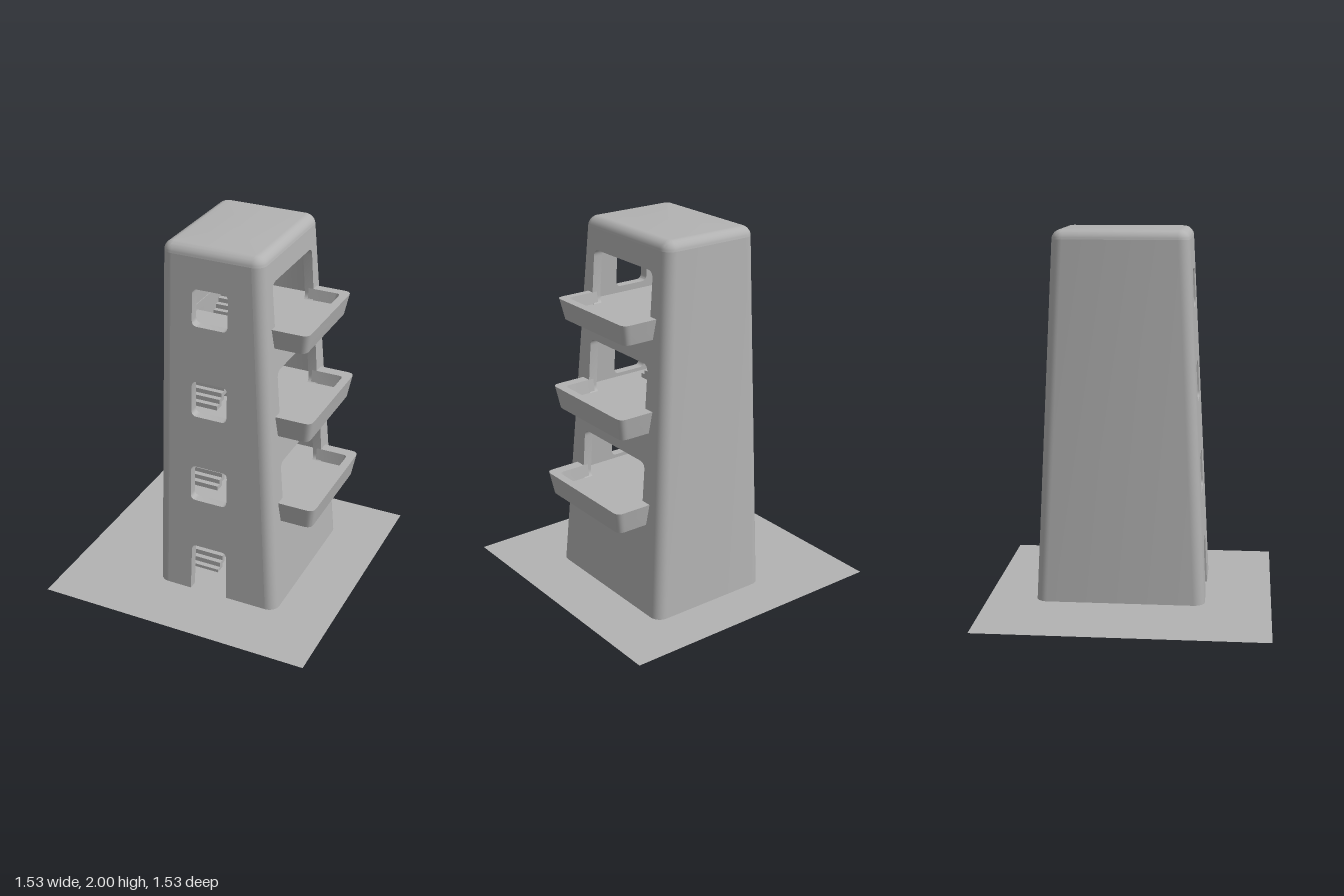
import * as THREE from 'three';
import { mergeGeometries, toCreasedNormals } from 'three/addons/utils/BufferGeometryUtils.js';

const R = 0.06;    // corner radius
const T = 0.05;    // wall thickness
const H = 1.95;    // height where the rounded roof begins
const SEG = 8;

// Tapering outline of the tower at height y
const bounds = (y) => ({
  x0: -0.255 + 0.007 * y, x1: 0.455 - 0.0725 * y,
  z0: -0.5 + 0.05 * y, z1: 0.41 - 0.049 * y,
});

// Rounded rectangle of points at height y, four corners in turn
function ring(y, inset) {
  const b = bounds(y), r = Math.max(R - inset, 0.004), k = inset + r, pts = [];
  const centres = [[b.x1 - k, b.z1 - k], [b.x0 + k, b.z1 - k], [b.x0 + k, b.z0 + k], [b.x1 - k, b.z0 + k]];
  centres.forEach(([cx, cz], c) => {
    for (let i = 0; i <= SEG; i++) {
      const a = (c + i / SEG) * Math.PI / 2;
      pts.push([cx + r * Math.cos(a), y, cz + r * Math.sin(a)]);
    }
  });
  return pts;
}

// Skin over a list of equal-length sections
function loft(sections) {
  const n = sections[0].length, index = [];
  for (let s = 0; s < sections.length - 1; s++) {
    for (let i = 0; i < n - 1; i++) {
      const a = s * n + i, b = a + n;
      index.push(a, b, a + 1, b, b + 1, a + 1);
    }
  }
  const geo = new THREE.BufferGeometry();
  geo.setAttribute('position', new THREE.Float32BufferAttribute(sections.flat(2), 3));
  geo.setIndex(index);
  return toCreasedNormals(geo, 0.6);
}

// Rounded rectangular opening
function opening(u0, u1, y0, y1, r = 0.03) {
  const p = new THREE.Path();
  p.moveTo(u0 + r, y0).lineTo(u1 - r, y0).quadraticCurveTo(u1, y0, u1, y0 + r);
  p.lineTo(u1, y1 - r).quadraticCurveTo(u1, y1, u1 - r, y1);
  p.lineTo(u0 + r, y1).quadraticCurveTo(u0, y1, u0, y1 - r);
  p.lineTo(u0, y0 + r).quadraticCurveTo(u0, y0, u0 + r, y0);
  return p;
}

// Extrude a shape and move every vertex by a rule
function extrude(shape, depth, rule) {
  const geo = new THREE.ExtrudeGeometry(shape, { depth, bevelEnabled: false, curveSegments: 6 });
  const p = geo.attributes.position;
  for (let i = 0; i < p.count; i++) p.setXYZ(i, ...rule(p.getX(i), p.getY(i), p.getZ(i)));
  return toCreasedNormals(geo, 0.6);
}

export function createModel() {
  const model = new THREE.Group();
  const stone = new THREE.MeshStandardMaterial({ color: 0xb2b2b2 });
  stone.name = 'stone grey';
  const ground = new THREE.MeshStandardMaterial({ color: 0xb2b2b2, side: THREE.DoubleSide });
  ground.name = 'ground grey';
  const add = (name, geo, mat = stone) => {
    const mesh = new THREE.Mesh(geo, mat);
    mesh.name = name;
    model.add(mesh);
    return mesh;
  };

  // Ground sheet
  add('ground', new THREE.PlaneGeometry(1.53, 1.53).rotateX(-Math.PI / 2), ground).position.y = 0.01;

  // Left and back walls with their corners, then the front right corner post
  const shell = [ring(0, 0), ring(H, 0), ring(H, T), ring(0, T), ring(0, 0)];
  add('backAndLeftWalls', loft(shell.map((s) => s.slice(SEG + 1))));
  add('cornerPost', loft(shell.map((s) => s.slice(0, SEG + 1))));

  // Roof with rounded edges
  const roof = [];
  for (let i = 0; i <= SEG; i++) {
    const a = i / SEG * Math.PI / 2;
    const s = ring(H + 0.05 * Math.sin(a), 0.05 * (1 - Math.cos(a)));
    roof.push([...s, s[0]]);
  }
  roof.push(roof[SEG].map(() => [0.035, 2, -0.045]));
  add('roof', loft(roof));

  // Front wall with doorway and three windows
  const lo = bounds(0), hi = bounds(H);
  const front = new THREE.Shape();
  front.moveTo(lo.x0 + R, 0).lineTo(-0.055, 0).lineTo(-0.05, 0.265);
  front.quadraticCurveTo(-0.05, 0.295, -0.02, 0.295).lineTo(0.125, 0.295);
  front.quadraticCurveTo(0.155, 0.295, 0.155, 0.265).lineTo(0.16, 0);
  front.lineTo(lo.x1 - R, 0).lineTo(hi.x1 - R, H).lineTo(hi.x0 + R, H).closePath();
  front.holes.push(
    opening(-0.06, 0.15, 0.58, 0.785),
    opening(-0.06, 0.14, 1.08, 1.28),
    opening(-0.063, 0.135, 1.585, 1.785),
  );
  add('frontWall', extrude(front, T, (u, y, d) => [u, y, bounds(y).z1 - T + d]));

  // Storeys: balcony bottom, rim top, reach, rim ends, window ends and top
  const storeys = [
    { y0: 0.51, y1: 0.63, reach: 0.61, zf: 0.29, zb: -0.375, wf: 0.23, wb: -0.315, top: 0.84 },
    { y0: 1.01, y1: 1.13, reach: 0.57, zf: 0.265, zb: -0.355, wf: 0.21, wb: -0.295, top: 1.36 },
    { y0: 1.5, y1: 1.61, reach: 0.535, zf: 0.25, zb: -0.345, wf: 0.21, wb: -0.295, top: 1.84 },
  ];
  const floorY = (s) => s.y0 + 0.05;

  // Right-hand wall with balcony openings (u runs towards the back)
  const side = new THREE.Shape();
  side.moveTo(-lo.z1 + R, 0).lineTo(-lo.z0 - R, 0).lineTo(-hi.z0 - R, H).lineTo(-hi.z1 + R, H).closePath();
  storeys.forEach((s) => side.holes.push(opening(-s.wf, -s.wb, floorY(s) - 0.005, s.top, 0.04)));
  add('balconyWall', extrude(side, T, (u, y, d) => [bounds(y).x1 - T + d, y, -u]));

  // Balconies: flared U-shaped parapet around a floor plate
  storeys.forEach((s) => {
    const xw = bounds(s.y0).x1 - 0.035, xi = s.reach - 0.045, r = 0.04, q = 0.025;
    const h = s.y1 - s.y0, f = -s.zf, b = -s.zb, wf = -s.wf, wb = -s.wb;
    const rim = new THREE.Shape();
    rim.moveTo(xw, f).lineTo(s.reach - r, f).quadraticCurveTo(s.reach, f, s.reach, f + r);
    rim.lineTo(s.reach, b - r).quadraticCurveTo(s.reach, b, s.reach - r, b).lineTo(xw, b);
    rim.lineTo(xw, wb).lineTo(xi - q, wb).quadraticCurveTo(xi, wb, xi, wb - q);
    rim.lineTo(xi, wf + q).quadraticCurveTo(xi, wf, xi - q, wf).lineTo(xw, wf).closePath();
    const mid = (s.zf + s.zb) / 2;
    add('balconyParapet', extrude(rim, h, (x, u, d) => {
      const k = 0.02 * (1 - d / h);
      return [x > xw + 0.01 ? x - k : x, s.y0 + d, -u - k * Math.sign(-u - mid)];
    }));
    const plate = new THREE.BoxGeometry(xi + 0.005 - xw, 0.049, s.wf - s.wb + 0.02);
    add('balconyFloor', plate).position.set((xw + xi + 0.005) / 2, s.y0 + 0.0255, (s.wf + s.wb) / 2);
  });

  // Inner floors with a stairwell, and a closed ceiling
  const slab = (name, y, stairwell) => {
    const b = bounds(y), m = 0.03;
    const plan = new THREE.Shape();
    plan.moveTo(b.x0 + m, -b.z1 + m).lineTo(b.x1 - m, -b.z1 + m);
    plan.lineTo(b.x1 - m, -b.z0 - m).lineTo(b.x0 + m, -b.z0 - m).closePath();
    if (stairwell) plan.holes.push(opening(-0.19, 0.03, -0.08, 0.36, 0.005));
    add(name, extrude(plan, 0.04, (x, u, d) => [x, y - 0.04 + d, -u]));
  };
  storeys.forEach((s) => slab('innerFloor', floorY(s), true));
  slab('ceiling', H, false);

  // Straight flights of stairs along the left wall, rising towards the back
  const steps = 20;
  storeys.forEach((s, i) => {
    const from = i ? floorY(storeys[i - 1]) : 0, rise = (floorY(s) - from) / steps;
    const run = 0.58 / steps, treads = [];
    for (let k = 0; k < steps; k++) {
      const top = from + (k + 1) * rise, low = Math.max(top - 0.05, 0);
      treads.push(new THREE.BoxGeometry(0.24, top - low, run)
        .translate(-0.1, (top + low) / 2, 0.22 - (k + 0.5) * run));
    }
    add('stairs', mergeGeometries(treads));
  });

  return model;
}
